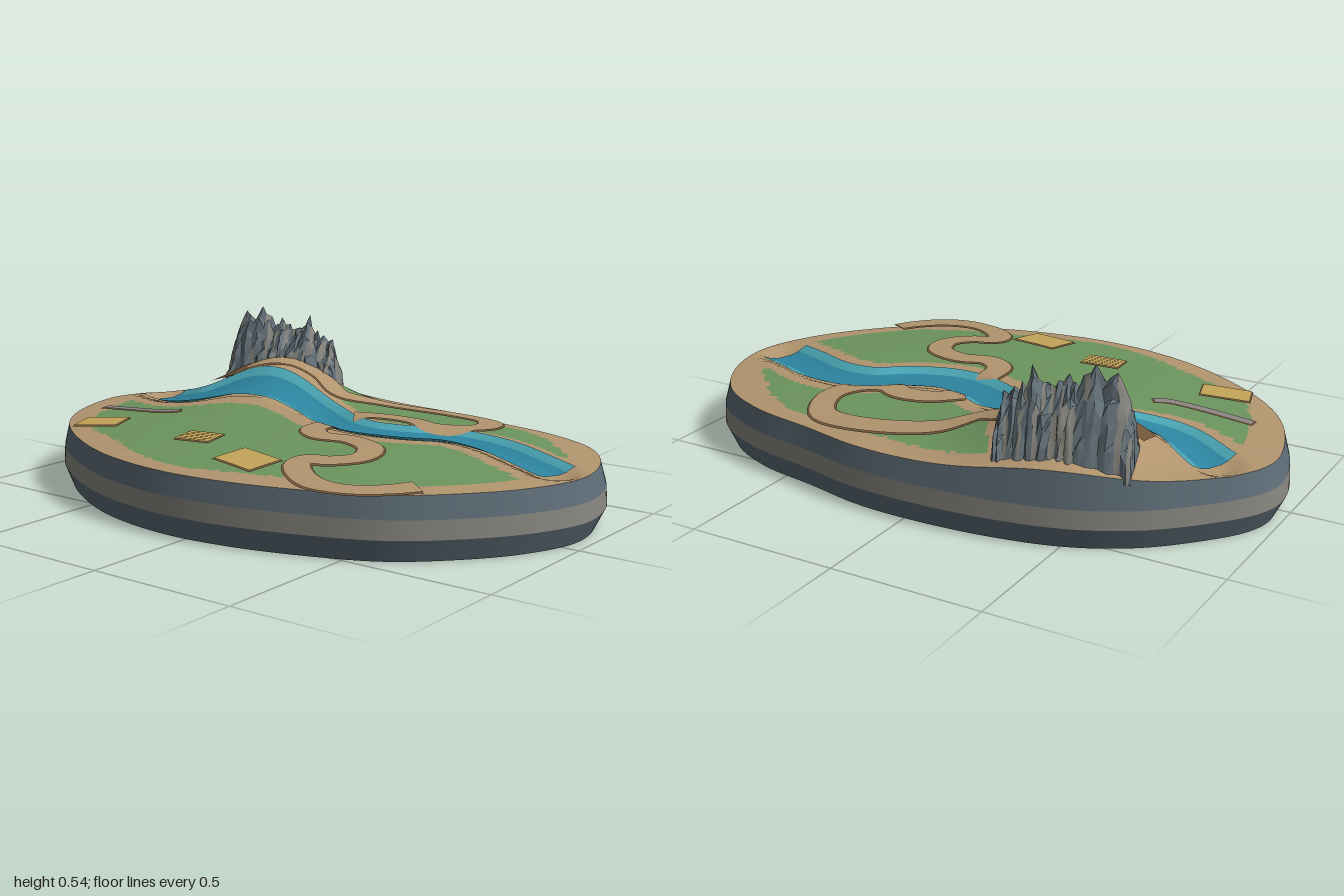
import * as THREE from 'three';
import { mergeVertices } from 'three/addons/utils/BufferGeometryUtils.js';

const mat = (name, color, extra = {}) => {
  const m = new THREE.MeshStandardMaterial({ color, ...extra });
  m.name = name;
  return m;
};
const hash = (a, b) => {
  const s = Math.sin(a * 127.1 + b * 311.7) * 43758.5453;
  return s - Math.floor(s);
};
const smooth = THREE.MathUtils.smoothstep;

const curve = (pts, closed = false) =>
  new THREE.CatmullRomCurve3(pts.map(([x, z]) => new THREE.Vector3(x, 0, z)), closed);

// Island outline, as a radius for every angle
const outline = curve([
  [0.99, -0.07], [0.92, 0.13], [0.79, 0.305], [0.62, 0.455], [0.4, 0.55], [0.16, 0.615], [-0.09, 0.637],
  [-0.37, 0.59], [-0.61, 0.48], [-0.8, 0.34], [-0.91, 0.2], [-0.98, 0.03], [-1, -0.1], [-0.97, -0.2],
  [-0.88, -0.32], [-0.72, -0.47], [-0.53, -0.57], [-0.29, -0.625], [-0.02, -0.645], [0.19, -0.635],
  [0.4, -0.59], [0.64, -0.54], [0.83, -0.44], [0.95, -0.27],
], true).getPoints(720).map((p) => [Math.atan2(p.z, p.x), Math.hypot(p.x, p.z)]).sort((a, b) => a[0] - b[0]);

function radiusAt(angle) {
  const a = Math.atan2(Math.sin(angle), Math.cos(angle));
  let k = outline.findIndex((o) => o[0] >= a);
  if (k <= 0) return outline[0][1];
  const [p, q] = [outline[k - 1], outline[k]];
  return p[1] + (q[1] - p[1]) * (a - p[0]) / Math.max(q[0] - p[0], 1e-6);
}
const TOP = 0.975; // the ground edge lies just inside the widest outline
const edgeRatio = (x, z) => Math.hypot(x, z) / (TOP * radiusAt(Math.atan2(z, x)));

const river = curve([
  [-0.83, -0.21], [-0.64, -0.125], [-0.45, -0.195], [-0.26, -0.225], [-0.1, -0.185], [0.03, -0.115], [0.16, -0.085],
  [0.3, -0.12], [0.43, -0.19], [0.59, -0.185], [0.75, -0.12], [0.865, -0.07],
]);
const riverPts = river.getPoints(120);
const riverDist = (x, z) => Math.min(...riverPts.map((p) => Math.hypot(p.x - x, p.z - z)));

// Ground height: low dome, one hill and the carved river bed
function height(x, z) {
  const t = Math.min(1, edgeRatio(x, z));
  const hill = 0.14 * Math.exp(-(((x + 0.42) / 0.25) ** 2) - ((z + 0.4) / 0.25) ** 2);
  const bed = 0.025 * (1 - smooth(riverDist(x, z), 0.03, 0.1));
  return 0.2 + 0.042 * (1 - t * t) + hill * (1 - 0.5 * smooth(t, 0.7, 1)) - bed;
}

// Grid surface; pick(i, j) chooses a material index for each cell
function grid(rows, cols, point, pick = () => 0) {
  const pos = [], lists = [[], []];
  for (let i = 0; i <= rows; i++) for (let j = 0; j <= cols; j++) pos.push(...point(i / rows, j / cols, i, j));
  for (let i = 0; i < rows; i++) for (let j = 0; j < cols; j++) {
    const a = i * (cols + 1) + j, c = a + cols + 1;
    lists[pick(i, j)].push(a, a + 1, c, a + 1, c + 1, c);
  }
  let g = new THREE.BufferGeometry();
  g.setAttribute('position', new THREE.Float32BufferAttribute(pos, 3));
  g.setIndex([...lists[0], ...lists[1]]);
  g.addGroup(0, lists[0].length, 0);
  g.addGroup(lists[0].length, lists[1].length, 1);
  g = mergeVertices(g);
  g.computeVertexNormals();
  return g;
}

// Strip draped on the ground along a path, between two sideways offsets
function ribbon(path, from, to, lift, n = 110, cols = 4) {
  return grid(n, cols, (u, v) => {
    const p = path.getPointAt(u), t = path.getTangentAt(u), o = from + (to - from) * v;
    const x = p.x - t.z * o, z = p.z + t.x * o;
    return [x, height(x, z) + lift, z];
  });
}

export function createModel() {
  const group = new THREE.Group();
  const open = { side: THREE.DoubleSide };
  const slate = mat('slate', 0x5d6c76);
  const stone = mat('stone', 0x87867f);
  const grass = mat('grass', 0x6c955e);
  const sand = mat('sand', 0xb2956f, open);
  const deep = mat('deepWater', 0x2d86a2, open);
  const shallow = mat('shallowWater', 0x4aa5b4, open);
  const earth = mat('earth', 0x6e5439, open);
  const straw = mat('straw', 0xc4a558, open);
  const gravel = mat('gravel', 0x8c8584, open);
  const crag = mat('crag', 0x66737b, { flatShading: true, side: THREE.DoubleSide });
  const add = (name, geometry, material) => {
    const m = new THREE.Mesh(geometry, material);
    m.name = name;
    group.add(m);
    return m;
  };

  // Ground, with grass inside a sandy rim and river banks
  const spoke = (u, v) => {
    const a = v * Math.PI * 2, r = u * TOP * radiusAt(a);
    return [Math.cos(a) * r, Math.sin(a) * r];
  };
  const ROWS = 56, COLS = 220;
  add('ground', grid(ROWS, COLS, (u, v) => {
    const [x, z] = spoke(u, v);
    return [x, height(x, z), z];
  }, (i, j) => {
    const u = (i + 0.5) / ROWS, [x, z] = spoke(u, (j + 0.5) / COLS);
    const near = riverPts.reduce((b, p) => (Math.abs(p.x - x) < Math.abs(b.x - x) ? p : b));
    const front = z > near.z;
    const rim = 0.89 + 0.02 * Math.sin(x * 9 + z * 5) + (hash(i, j) - 0.5) * 0.015;
    const bank = riverDist(x, z) > (front ? 0.145 : 0.13);
    const hillside = !front && x < -0.27 + (z + 0.58) * 0.6;
    return u < rim && bank && !hillside ? 0 : 1;
  }), [grass, sand]);

  // Layered side of the base
  const rings = [[0.965, 0], [1, 0.07], [0.995, 0.13], [TOP, null]];
  const bands = [['lowerBand', slate], ['middleBand', stone], ['upperBand', slate]];
  bands.forEach(([name, material], b) => add(name, grid(COLS, 1, (u, v, i, j) => {
    const a = u * Math.PI * 2, [s, y] = rings[b + j], r = s * radiusAt(a);
    const x = Math.cos(a) * r, z = Math.sin(a) * r;
    return [x, y ?? height(x, z), z];
  }), material));
  add('underside', grid(1, COLS, (u, v) => {
    const a = -v * Math.PI * 2, r = u * 0.965 * radiusAt(a);
    return [Math.cos(a) * r, 0, Math.sin(a) * r];
  }), slate);

  // River
  add('riverDeep', ribbon(river, -0.055, 0.055, 0.008), deep);
  add('riverShallowBack', ribbon(river, -0.088, -0.055, 0.008, 110, 2), shallow);
  add('riverShallowFront', ribbon(river, 0.055, 0.088, 0.008, 110, 2), shallow);

  // Winding paths with earth edges
  const paths = {
    hillPath: [[-0.6, -0.29], [-0.45, -0.335], [-0.34, -0.385], [-0.24, -0.395], [-0.13, -0.36], [-0.02, -0.44],
      [0.24, -0.51], [0.39, -0.49], [0.445, -0.37], [0.4, -0.28], [0.31, -0.24], [0.24, -0.265], [0.14, -0.255], [0.04, -0.195]],
    meadowPath: [[0.06, -0.03], [0.07, 0.07], [0.14, 0.12], [0.24, 0.1], [0.35, 0.145], [0.38, 0.24], [0.32, 0.32],
      [0.255, 0.345], [0.26, 0.4], [0.35, 0.48], [0.44, 0.505], [0.54, 0.48], [0.62, 0.41], [0.66, 0.35]],
  };
  for (const [name, pts] of Object.entries(paths)) {
    add(name + 'Edge', ribbon(curve(pts), -0.047, 0.047, 0.007, 140), earth);
    add(name, ribbon(curve(pts), -0.041, 0.041, 0.011, 140), sand);
  }
  add('gravelTrackEdge', ribbon(curve([[-0.824, 0.115], [-0.6, 0.115], [-0.53, 0.105], [-0.491, 0.077]]), -0.021, 0.021, 0.007, 40), earth);
  add('gravelTrack', ribbon(curve([[-0.82, 0.115], [-0.6, 0.115], [-0.53, 0.105], [-0.495, 0.08]]), -0.017, 0.017, 0.01, 40), gravel);
  add('earthBank', ribbon(curve([[-0.65, -0.28], [-0.58, -0.27], [-0.5, -0.295]]), -0.035, 0.035, 0.016, 20), earth);

  // Straw fields: [x, z, length, width, turn, furrows]
  [[-0.65, 0.305, 0.16, 0.11, 0.29, 0], [-0.19, 0.33, 0.13, 0.095, 0.12, 6], [0.1, 0.44, 0.175, 0.125, -0.2, 0]]
    .forEach(([x, z, l, w, turn, furrows], k) => {
      const line = (half, off = 0) => {
        const c = Math.cos(turn), s = -Math.sin(turn), cx = x - s * off, cz = z + c * off;
        return new THREE.LineCurve3(new THREE.Vector3(cx - c * half, 0, cz - s * half), new THREE.Vector3(cx + c * half, 0, cz + s * half));
      };
      add(`fieldEdge${k + 1}`, ribbon(line(l / 2 + 0.004), -w / 2 - 0.004, w / 2 + 0.004, 0.008, 8), earth);
      add(`field${k + 1}`, ribbon(line(l / 2), -w / 2, w / 2, 0.012, 8), straw);
      for (let f = 0; f < furrows; f++) {
        add('furrow', ribbon(line(l / 2 - 0.008, ((f + 0.5) / furrows - 0.5) * w), -0.002, 0.002, 0.014, 8, 1), earth);
      }
    });

  // Craggy mountain ridge
  const ridge = new THREE.CatmullRomCurve3([[0, 0.37], [0.07, 0.46], [0.26, 0.53], [0.42, 0.49], [0.5, 0.51], [0.6, 0.46],
    [0.72, 0.5], [0.82, 0.455], [0.92, 0.45], [1, 0.36]].map(([x, y]) => new THREE.Vector3(x, y, 0)));
  const N = 34, M = 14, tilt = 0.26;
  add('mountain', grid(N, M, (u, v, i, j) => {
    const s = v * 2 - 1, r = ridge.getPoint(u);
    const end = i === 0 || i === N;
    const rim = end || j === 0 || j === M;
    const lx = (r.x - 0.5) * 0.42 + (rim ? 0 : (hash(i, j) - 0.5) * 0.012);
    const lz = s * (0.072 + 0.018 * hash(i, 3)) + (rim ? 0 : (hash(j, i) - 0.5) * 0.012);
    const x = -0.46 + lx * Math.cos(tilt) + lz * Math.sin(tilt);
    const z = -0.455 - lx * Math.sin(tilt) + lz * Math.cos(tilt);
    const base = height(x, z) - 0.015;
    const fall = rim ? 0 : (1 - Math.abs(s)) ** 0.75 * (0.82 + 0.25 * hash(i, 7)) + (hash(i + 5, j) - 0.5) * 0.12;
    return [x, base + Math.max(0, r.y - base) * Math.max(0, fall), z];
  }, (i, j) => (hash(i * 3, 11 + (j >> 2)) > 0.72 ? 1 : 0)),
  [crag, stone]);

  return group;
}
